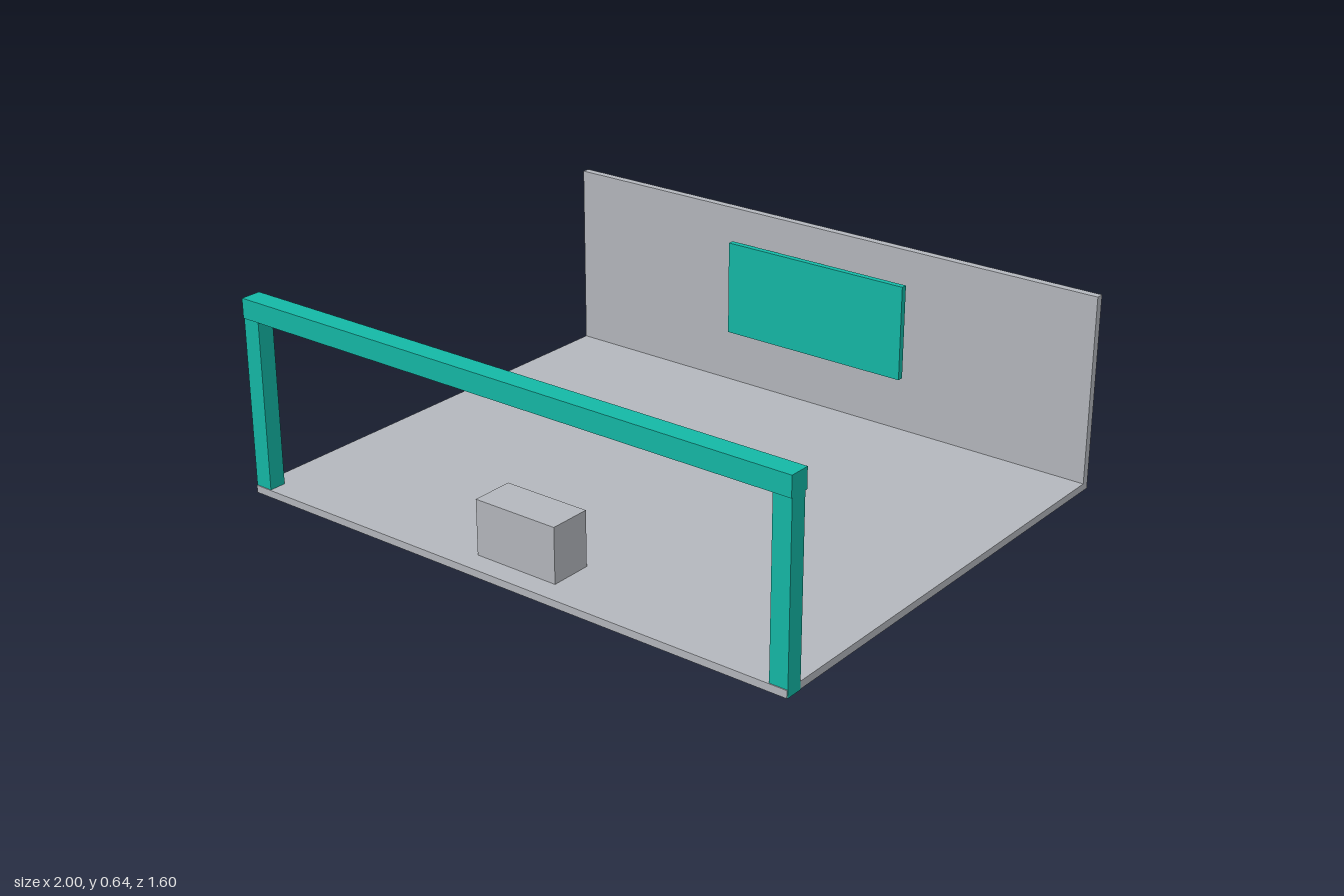
import * as THREE from 'three';

export function createModel() {
  const model = new THREE.Group();
  const grey = new THREE.MeshStandardMaterial({ color: 0xb4b7bd });
  grey.name = 'light grey';
  const teal = new THREE.MeshStandardMaterial({ color: 0x14b8a6 });
  teal.name = 'teal';

  // Box given by its lower and upper corners
  function box(name, material, [x0, y0, z0], [x1, y1, z1]) {
    const mesh = new THREE.Mesh(new THREE.BoxGeometry(x1 - x0, y1 - y0, z1 - z0), material);
    mesh.position.set((x0 + x1) / 2, (y0 + y1) / 2, (z0 + z1) / 2);
    mesh.name = name;
    model.add(mesh);
    return mesh;
  }

  // Stage floor and back wall
  box('floor', grey, [-0.999, 0.001, -0.8], [0.999, 0.025, 0.8]);
  box('backWall', grey, [-0.999, 0.025, -0.8], [0.999, 0.64, -0.774]);

  // Front portal: two posts, seated through the floor, and a beam
  for (const side of [-1, 1]) {
    const post = box(side > 0 ? 'leftPost' : 'rightPost', teal, [0.94, 0, 0.74], [1, 0.576, 0.797]);
    post.position.x *= side;
  }
  box('portalBeam', teal, [-1, 0.576, 0.732], [1, 0.64, 0.8]);

  // Screen panel with its slimmer backing, just clear of the wall
  box('screen', teal, [-0.34, 0.213, -0.757], [0.34, 0.53, -0.736]);
  box('screenBacking', grey, [-0.33, 0.23, -0.768], [0.33, 0.514, -0.757]);

  // Low block behind the portal
  box('block', grey, [-0.147, 0.025, 0.588], [0.147, 0.204, 0.727]);

  return model;
}
